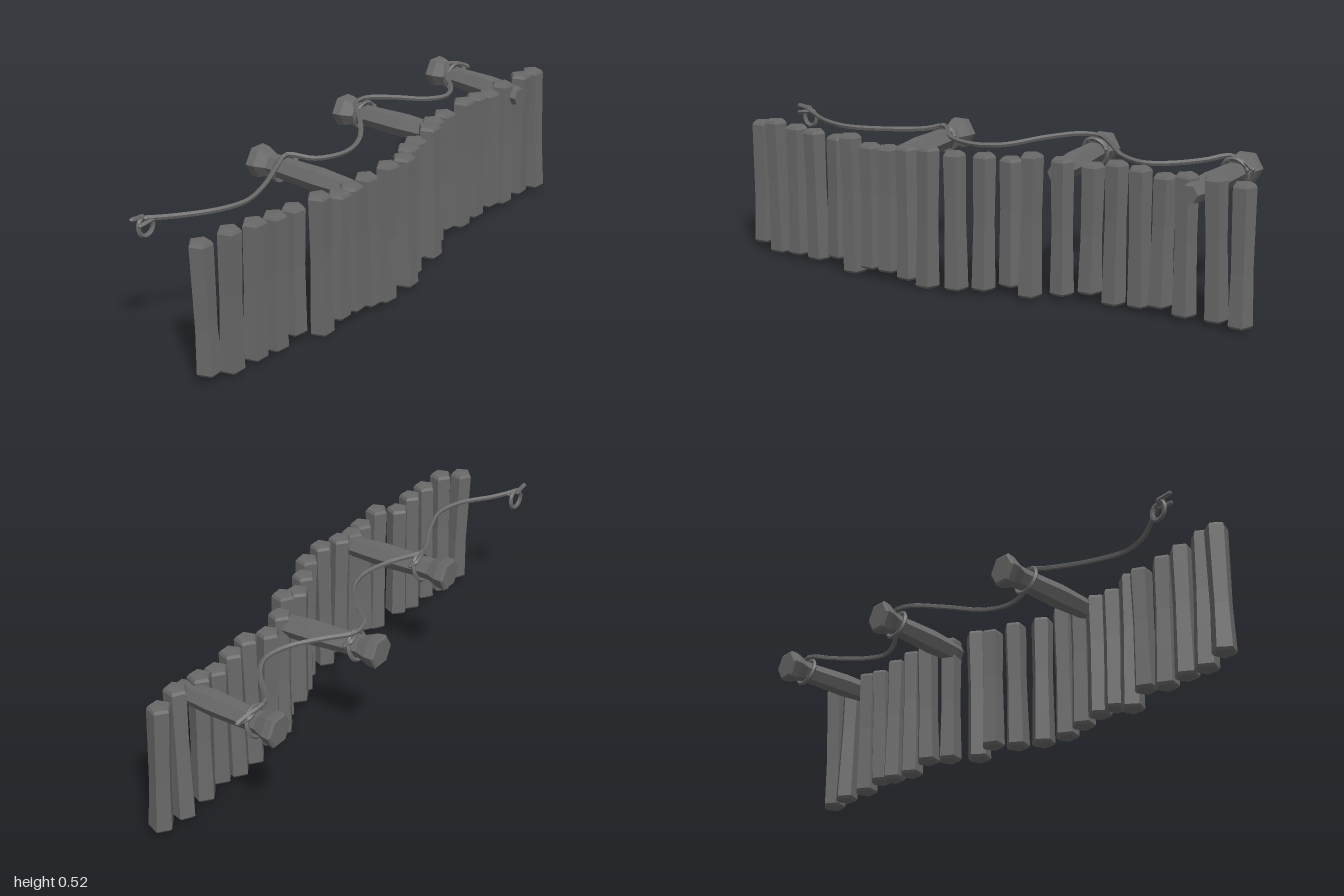
import * as THREE from 'three';

const wood = new THREE.MeshStandardMaterial({ color: 0x696969, flatShading: true });
wood.name = 'grey wood';

// Small seeded generator for hand-hewn irregularity, -1..1
let seed = 7;
const wobble = () => {
  seed = (seed * 16807) % 2147483647;
  return (seed / 2147483647) * 2 - 1;
};

// Faceted log from [radius, height] pairs, corner pointing to -z
function log(profile, sides, twist = 0) {
  const pts = profile.map(([r, y]) => new THREE.Vector2(r, y));
  return new THREE.LatheGeometry(pts, sides, Math.PI + twist);
}

function add(group, geometry, name) {
  const mesh = new THREE.Mesh(geometry, wood);
  mesh.name = name;
  group.add(mesh);
  return mesh;
}

// Rope through a few points
function rope(group, points, name, radius = 0.009, closed = false) {
  const curve = new THREE.CatmullRomCurve3(points.map((p) => new THREE.Vector3(...p)), closed);
  const steps = points.length * 4;
  add(group, new THREE.TubeGeometry(curve, steps, radius, 5, closed), name);
  if (closed) return;
  // Close the two cut ends
  for (const t of [0, 1]) {
    const knob = add(group, new THREE.IcosahedronGeometry(radius, 0), name + 'End');
    knob.position.copy(curve.getPoint(t));
  }
}

// Fence posts: x, z, bottom, top
const POSTS = [
  [-0.95, 0.165, 0.03, 0.49], [-0.86, 0.19, 0.008, 0.512], [-0.76, 0.2, 0.018, 0.505],
  [-0.67, 0.205, 0.015, 0.5], [-0.575, 0.2, 0.035, 0.49], [-0.485, 0.235, 0.006, 0.512],
  [-0.4, 0.24, 0.035, 0.49], [-0.325, 0.235, 0.035, 0.49], [-0.245, 0.235, 0.022, 0.5],
  [-0.155, 0.24, 0.006, 0.512], [-0.045, 0.235, 0.018, 0.505], [0.04, 0.185, 0.018, 0.5],
  [0.125, 0.145, 0.035, 0.49], [0.205, 0.148, 0.012, 0.515], [0.295, 0.09, 0.018, 0.5],
  [0.395, 0.066, 0.035, 0.49], [0.49, 0.072, 0.012, 0.512], [0.58, 0.066, 0.018, 0.505],
  [0.665, 0.066, 0.035, 0.49], [0.75, 0.066, 0.018, 0.505], [0.86, 0.066, 0.018, 0.512],
  [0.955, 0.067, 0.018, 0.5],
];

function buildPost(group, [x, z, y0, y1]) {
  const h = y1 - y0;
  const r = 0.0415;
  const geo = log([
    [0, y0], [r * 0.85, y0 + 0.003], [r + 0.002, y0 + 0.012],
    [r * 0.92, y0 + h * 0.5 + wobble() * 0.06],
    [r, y1 - 0.012], [r * 0.85, y1 - 0.002], [0, y1],
  ], 5, wobble() * 0.12);
  // Lean each post a little
  const leanX = wobble() * 0.012, leanZ = wobble() * 0.02;
  const p = geo.attributes.position;
  for (let i = 0; i < p.count; i++) {
    const t = (p.getY(i) - y0) / h - 0.5;
    p.setX(i, p.getX(i) + leanX * t);
    p.setZ(i, p.getZ(i) + leanZ * t);
  }
  add(group, geo, 'post').position.set(x, 0, z);
}

// Beams pointing backwards: x at the fence, x at the tip, z at the fence, z at the tip, rope z
const BEAMS = [
  [-0.295, -0.31, 0.225, -0.205, -0.085],
  [0.285, 0.245, 0.12, -0.295, -0.2],
  [0.785, 0.797, 0.12, -0.295, -0.2],
];

function buildBeam(group, [x0, x1, z0, z1, zr]) {
  const len = z0 - z1;
  const geo = log([
    [0, 0], [0.032, 0], [0.037, 0.03], [0.043, len * 0.35], [0.038, len - 0.11],
    [0.04, len - 0.075], [0.056, len - 0.035], [0.059, len - 0.006], [0.05, len], [0, len],
  ], 6, Math.PI / 6);
  geo.rotateX(-Math.PI / 2);
  const p = geo.attributes.position;
  for (let i = 0; i < p.count; i++) {
    const t = -p.getZ(i) / len;
    p.setX(i, p.getX(i) + (x1 - x0) * t);
    p.setY(i, p.getY(i) + 0.008 * t);
  }
  add(group, geo, 'beam').position.set(x0, 0.45, z0);

  // Rope wrapped around the neck, with a short loose tail
  const xr = x0 + ((x1 - x0) * (z0 - zr)) / len;
  const turn = [];
  for (let i = 0; i < 8; i++) {
    const a = (i / 8) * Math.PI * 2;
    turn.push([xr + Math.cos(a) * 0.047, 0.457 + Math.sin(a) * 0.049, zr + Math.sin(a) * 0.012]);
  }
  rope(group, turn, 'ropeWrap', 0.008, true);
  rope(group, [[xr - 0.02, 0.5, zr + 0.01], [xr + 0.035, 0.49, zr - 0.002], [xr + 0.05, 0.475, zr + 0.015]],
    'ropeKnot', 0.009);
}

export function createModel() {
  const model = new THREE.Group();
  model.name = 'palisade';

  const fence = new THREE.Group();
  fence.name = 'fence';
  POSTS.forEach((p) => buildPost(fence, p));

  const supports = new THREE.Group();
  supports.name = 'beams';
  BEAMS.forEach((b) => buildBeam(supports, b));

  // Long rope swinging from beam to beam
  const line = new THREE.Group();
  line.name = 'rope';
  rope(line, [
    [-0.94, 0.488, -0.09], [-0.86, 0.483, -0.04], [-0.75, 0.485, 0.03], [-0.64, 0.485, 0.055],
    [-0.51, 0.485, 0.015], [-0.37, 0.49, -0.055], [-0.3, 0.506, -0.075], [-0.23, 0.487, -0.01],
    [-0.11, 0.482, 0.025], [0, 0.488, -0.005], [0.11, 0.51, -0.095], [0.2, 0.517, -0.19],
    [0.27, 0.515, -0.205], [0.35, 0.51, -0.14], [0.44, 0.497, -0.06], [0.53, 0.49, -0.033],
    [0.61, 0.49, -0.07], [0.7, 0.495, -0.16], [0.77, 0.51, -0.208], [0.83, 0.497, -0.195],
    [0.865, 0.48, -0.182],
  ], 'longRope');
  // Loop tied at the free end
  const loop = [];
  for (let i = 0; i <= 8; i++) {
    const a = Math.PI / 2 - (i / 8) * Math.PI * 2;
    loop.push([-0.935 + Math.cos(a) * 0.03, 0.457 + Math.sin(a) * 0.032, -0.09 - i * 0.0015]);
  }
  rope(line, [...loop, [-0.965, 0.493, -0.1], [-0.99, 0.496, -0.1]], 'endLoop', 0.008);
  rope(line, [[-0.91, 0.483, -0.078], [-0.945, 0.48, -0.076], [-0.975, 0.475, -0.08]], 'endKnot', 0.008);

  model.add(fence, supports, line);
  return model;
}
